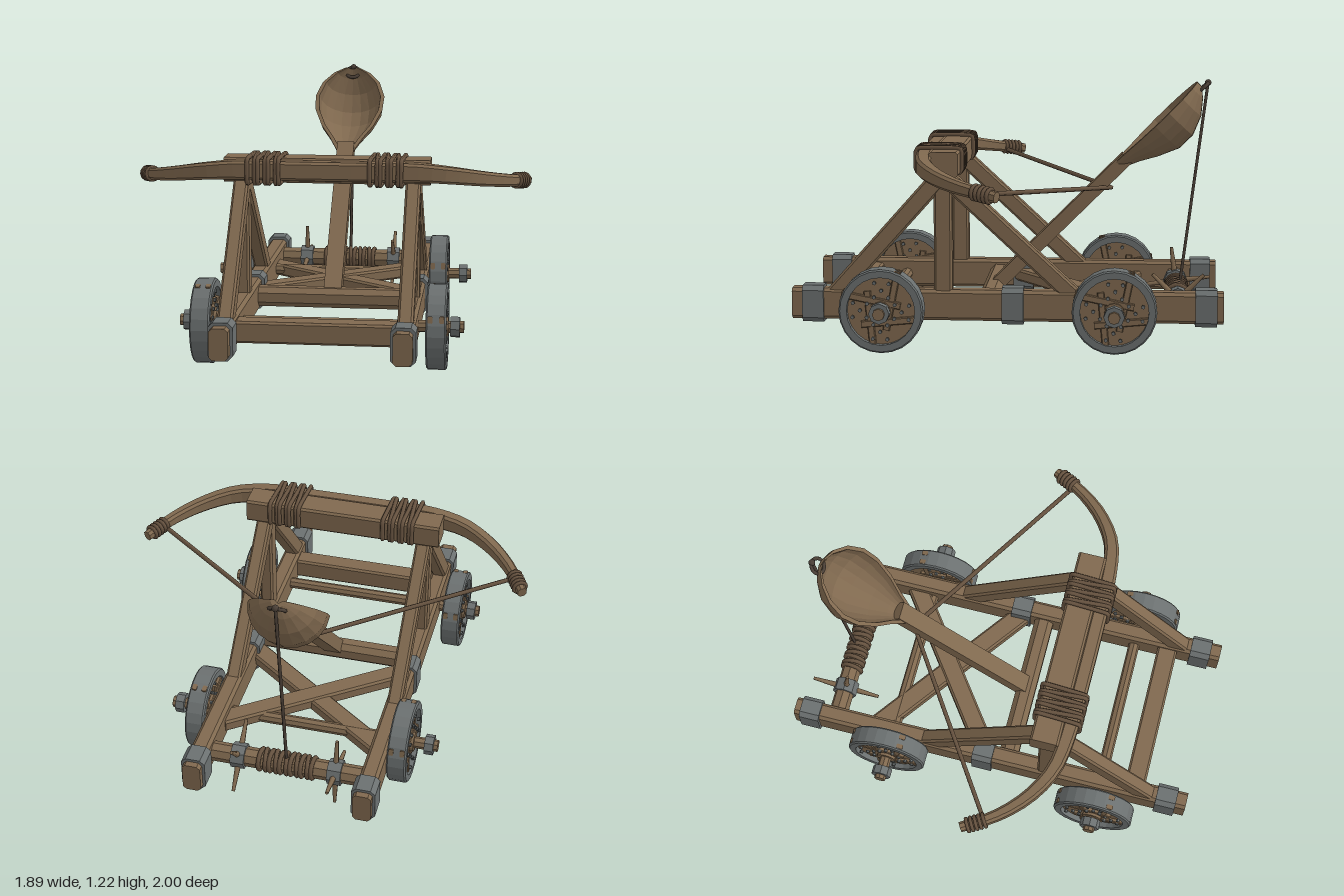
import * as THREE from 'three';

const V = (x, y, z) => new THREE.Vector3(x, y, z);
const paint = (name, color, extra = {}) => Object.assign(new THREE.MeshStandardMaterial({ color, ...extra }), { name });

// Skin a list of rings (counter-clockwise about the path), with capped ends
function loft(rings) {
  const p = [], tri = (...vs) => vs.forEach((v) => p.push(v.x, v.y, v.z));
  const n = rings[0].length;
  const mid = (r) => r.reduce((s, v) => s.add(v), V(0, 0, 0)).divideScalar(n);
  const last = rings[rings.length - 1], m0 = mid(rings[0]), m1 = mid(last);
  for (let j = 0; j < n; j++) {
    const k = (j + 1) % n;
    for (let i = 0; i < rings.length - 1; i++) {
      const [a, b, c, d] = [rings[i][j], rings[i][k], rings[i + 1][k], rings[i + 1][j]];
      tri(a, b, d); tri(b, c, d);
    }
    tri(m0, rings[0][k], rings[0][j]);
    tri(m1, last[j], last[k]);
  }
  const g = new THREE.BufferGeometry();
  g.setAttribute('position', new THREE.Float32BufferAttribute(p, 3));
  g.computeVertexNormals();
  return g;
}

// Corner points of a rectangle with cut corners
function cutRect(w, h, c) {
  const x = w / 2, y = h / 2;
  return [[x, -y + c], [x, y - c], [x - c, y], [-x + c, y], [-x, y - c], [-x, -y + c], [-x + c, -y], [x - c, -y]];
}

export function createModel() {
  const root = new THREE.Group();
  root.name = 'catapult';
  const wood = paint('wood', 0x80694f);
  const iron = paint('iron', 0x6b7070);
  const rope = paint('rope', 0x675340);
  const darkRope = paint('dark rope', 0x4a3f36);

  const add = (name, geo, mat, parent = root) => {
    const m = new THREE.Mesh(geo, mat);
    m.name = name;
    parent.add(m);
    return m;
  };
  // Chamfered timber from a to b; w is its sideways width, h its other width
  const bar = (name, a, b, w, h, mat = wood, c = 0.01, parent = root) => {
    const len = a.distanceTo(b);
    const s = new THREE.Shape(cutRect(w, h, c).map(([x, y]) => new THREE.Vector2(x, y)));
    const m = add(name, new THREE.ExtrudeGeometry(s, { depth: len, bevelEnabled: false }).translate(0, 0, -len / 2), mat, parent);
    m.position.copy(a).add(b).multiplyScalar(0.5);
    m.lookAt(b);
    return m;
  };
  // Faceted cylinder lying along x
  const rod = (name, r, len, x, y, z, mat, sides = 8, parent = root) => {
    const m = add(name, new THREE.CylinderGeometry(r, r, len, sides).rotateZ(Math.PI / 2).toNonIndexed(), mat, parent);
    m.geometry.computeVertexNormals();
    m.position.set(x, y, z);
    return m;
  };
  const line = (name, pts, r, mat) => {
    const path = new THREE.CurvePath();
    for (let i = 1; i < pts.length; i++) path.add(new THREE.LineCurve3(pts[i - 1], pts[i]));
    return add(name, new THREE.TubeGeometry(path, 24, r, 6), mat);
  };

  // Wheel with its axle along x; the decorated face looks towards +x
  function wheel() {
    const g = new THREE.Group();
    g.name = 'wheel';
    const prof = [[0.157, -0.046], [0.188, -0.046], [0.195, -0.039], [0.195, 0.039], [0.188, 0.046], [0.157, 0.046], [0.157, -0.046]];
    const rim = new THREE.LatheGeometry(prof.map(([r, y]) => new THREE.Vector2(r, y)), 24).rotateZ(-Math.PI / 2).toNonIndexed();
    rim.computeVertexNormals();
    add('wheelRim', rim, iron, g);
    rod('wheelPlanks', 0.16, 0.04, 0, 0, 0, wood, 24, g);
    for (const side of [-1, 1]) {
      const face = new THREE.Group();
      face.name = 'wheelBracing';
      face.rotation.x = 0.75;
      g.add(face);
      for (const o of [-0.068, 0.068]) {
        bar('wheelBrace', V(side * 0.026, o, -0.138), V(side * 0.026, o, 0.138), 0.022, 0.032, wood, 0.004, face);
        bar('wheelBrace', V(side * 0.024, -0.138, o), V(side * 0.024, 0.138, o), 0.022, 0.032, wood, 0.004, face);
        for (const t of [-0.115, -0.068, -0.022, 0.022, 0.068, 0.115]) {
          rod('rivet', 0.009, 0.012, side * 0.04, o, t, iron, 6, face);
          if (Math.abs(t) !== 0.068) rod('rivet', 0.009, 0.012, side * 0.038, t, o, iron, 6, face);
        }
      }
    }
    rod('hub', 0.046, 0.1, 0, 0, 0, wood, 12, g);
    return g;
  }

  // Axles: front wheels stand further out than the rear ones
  for (const [z, wx] of [[0.565, 0.53], [-0.5, 0.488]]) {
    rod('axle', 0.028, 1.3, 0, 0.2, z, wood);
    for (const s of [-1, 1]) {
      const w = wheel();
      w.position.set(s * wx, 0.2, z);
      if (s < 0) w.rotation.y = Math.PI;
      root.add(w);
      rod('axleNut', 0.048, 0.042, s * 0.61, 0.2, z, iron);
    }
  }

  // Side frames: rail, iron bands, upright and two diagonals
  for (const s of [-1, 1]) {
    const x = s * 0.4;
    bar('sideRail', V(x, 0.205, -1), V(x, 0.205, 1), 0.086, 0.145, wood, 0.015);
    for (const z of [0.9, -0.03, -0.92]) bar('ironBand', V(x, 0.205, z - 0.05), V(x, 0.205, z + 0.05), 0.112, 0.172, iron, 0.022);
    bar('upright', V(x, 0.25, 0.293), V(x, 0.83, 0.293), 0.066, 0.085);
    bar('frontDiagonal', V(x, 0.22, 0.825), V(x, 0.82, 0.29), 0.07, 0.085);
    bar('rearDiagonal', V(x, 0.22, -0.345), V(x, 0.80, 0.28), 0.07, 0.08);
  }

  // Cross members and the X brace
  bar('frontCrossbar', V(-0.38, 0.205, 0.735), V(0.38, 0.205, 0.735), 0.1, 0.1);
  bar('middleCrossbar', V(-0.38, 0.205, 0.09), V(0.38, 0.205, 0.09), 0.095, 0.095, wood, 0.025);
  for (const s of [-1, 1]) bar('crossBrace', V(s * 0.38, 0.2 + s * 0.004, -0.585), V(-s * 0.38, 0.2 + s * 0.004, -0.025), 0.1, 0.06);

  // Windlass with rope coils and crossed handles
  const wz = -0.795, wy = 0.205;
  rod('windlassDrum', 0.047, 0.76, 0, wy, wz, wood);
  for (let i = 0; i < 11; i++) {
    const c = add('windlassCoil', new THREE.TorusGeometry(0.05, 0.011, 6, 14).rotateY(Math.PI / 2 + (i % 2 ? 0.1 : -0.06)), rope);
    c.position.set(-0.125 + i * 0.025, wy, wz);
  }
  for (const [x, tilt] of [[0.23, Math.PI / 4], [-0.23, 0.13]]) {
    rod('windlassCollar', 0.06, 0.065, x, wy, wz, iron);
    for (let i = 0; i < 4; i++) {
      const h = add('windlassHandle', new THREE.CylinderGeometry(0.008, 0.017, 0.17, 6).translate(0, 0.085, 0), wood);
      h.position.set(x, wy, wz);
      h.rotation.x = tilt + i * Math.PI / 2;
    }
  }

  // Head beam and bow
  bar('headBeam', V(-0.48, 0.865, 0.285), V(0.48, 0.865, 0.285), 0.135, 0.115);
  const half = [[0.42, 0.873, 0.38], [0.58, 0.858, 0.355], [0.72, 0.832, 0.275], [0.84, 0.805, 0.15], [0.925, 0.783, 0.005]];
  const bow = new THREE.CatmullRomCurve3([
    ...half.map(([x, y, z]) => V(-x, y, z)).reverse(), V(-0.2, 0.873, 0.383), V(0.2, 0.873, 0.383), ...half.map((p) => V(...p))]);
  const frame = (t) => {
    const T = bow.getTangentAt(t), N = V(0, 1, 0).cross(T).normalize();
    return { P: bow.getPointAt(t), T, N, B: T.clone().cross(N) };
  };
  const rings = [];
  for (let i = 0; i <= 36; i++) {
    const { P, N, B } = frame(i / 36);
    const e = Math.max(0, Math.abs(i / 18 - 1) - 0.35) / 0.65;
    rings.push(cutRect(0.075 - 0.032 * e, 0.088 - 0.04 * e, 0.012)
      .map(([x, y]) => P.clone().addScaledVector(N, x).addScaledVector(B, y)));
  }
  add('bow', loft(rings), wood);

  // Rope lashings binding the bow to the beam, and at the bow tips
  const lash = new THREE.CatmullRomCurve3(cutRect(0.215, 0.116, 0.02).map(([z, y]) => V(0, y, z)), true, 'catmullrom', 0.3);
  const lashGeo = new THREE.TubeGeometry(lash, 40, 0.011, 6, true);
  for (const s of [-1, 1]) {
    for (let i = 0; i < 7; i++) {
      const l = add('beamLashing', lashGeo, rope);
      l.position.set(s * (0.2 + i * 0.024) + s * 0.01, 0.871, 0.318);
      l.rotation.y = i % 2 ? 0.06 : -0.05;
    }
    for (let i = 0; i < 5; i++) {
      const { P, T } = frame(0.5 + s * (0.448 + i * 0.009));
      const c = add('tipLashing', new THREE.TorusGeometry(0.031, 0.009, 6, 12), rope);
      c.position.copy(P);
      c.lookAt(P.clone().add(T));
    }
  }
  line('bowString', [V(-0.865, 0.785, 0.1), V(0, 0.703, -0.475), V(0.865, 0.785, 0.1)], 0.011, rope);

  // Throwing arm: local y runs up the arm, local z faces its upper side
  const arm = new THREE.Group();
  arm.name = 'throwingArm';
  arm.position.set(0, 0.22, 0.08);
  arm.rotation.x = -Math.PI / 4;
  root.add(arm);
  add('armBeam', new THREE.BoxGeometry(0.086, 0.91, 0.065).translate(0, 0.435, 0), wood, arm);

  // Spoon bowl: [distance up the arm, half width, depth]
  const stations = [[0.84, 0.044, 0.045], [0.92, 0.085, 0.08], [1.0, 0.135, 0.125], [1.1, 0.174, 0.168],
    [1.19, 0.18, 0.168], [1.28, 0.15, 0.13], [1.345, 0.095, 0.075], [1.38, 0.035, 0.03]];
  const shell = stations.map(([y, w, d]) => {
    const ring = [], wall = Math.min(0.02, d * 0.5);
    for (let k = 0; k <= 10; k++) {
      const a = (k / 10) * Math.PI;
      ring.push(V(w * Math.cos(a), y, 0.024 - d * Math.sin(a)));
    }
    for (let k = 10; k >= 0; k--) {
      const a = (k / 10) * Math.PI;
      ring.push(V((w - wall) * Math.cos(a), y, 0.026 - (d - wall) * Math.sin(a)));
    }
    return ring;
  });
  add('spoonBowl', loft(shell), wood, arm);

  // Tip ring and pull-down rope
  const ring = add('tipRing', new THREE.TorusGeometry(0.036, 0.009, 6, 16), darkRope);
  ring.position.set(0, 1.185, -0.905);
  ring.rotation.x = -0.85;
  add('tipKnot', new THREE.IcosahedronGeometry(0.016, 1), darkRope).position.set(0, 1.21, -0.93);
  line('pullRope', [V(0, 1.21, -0.93), V(0, 0.24, -0.81)], 0.008, darkRope);

  return root;
}
